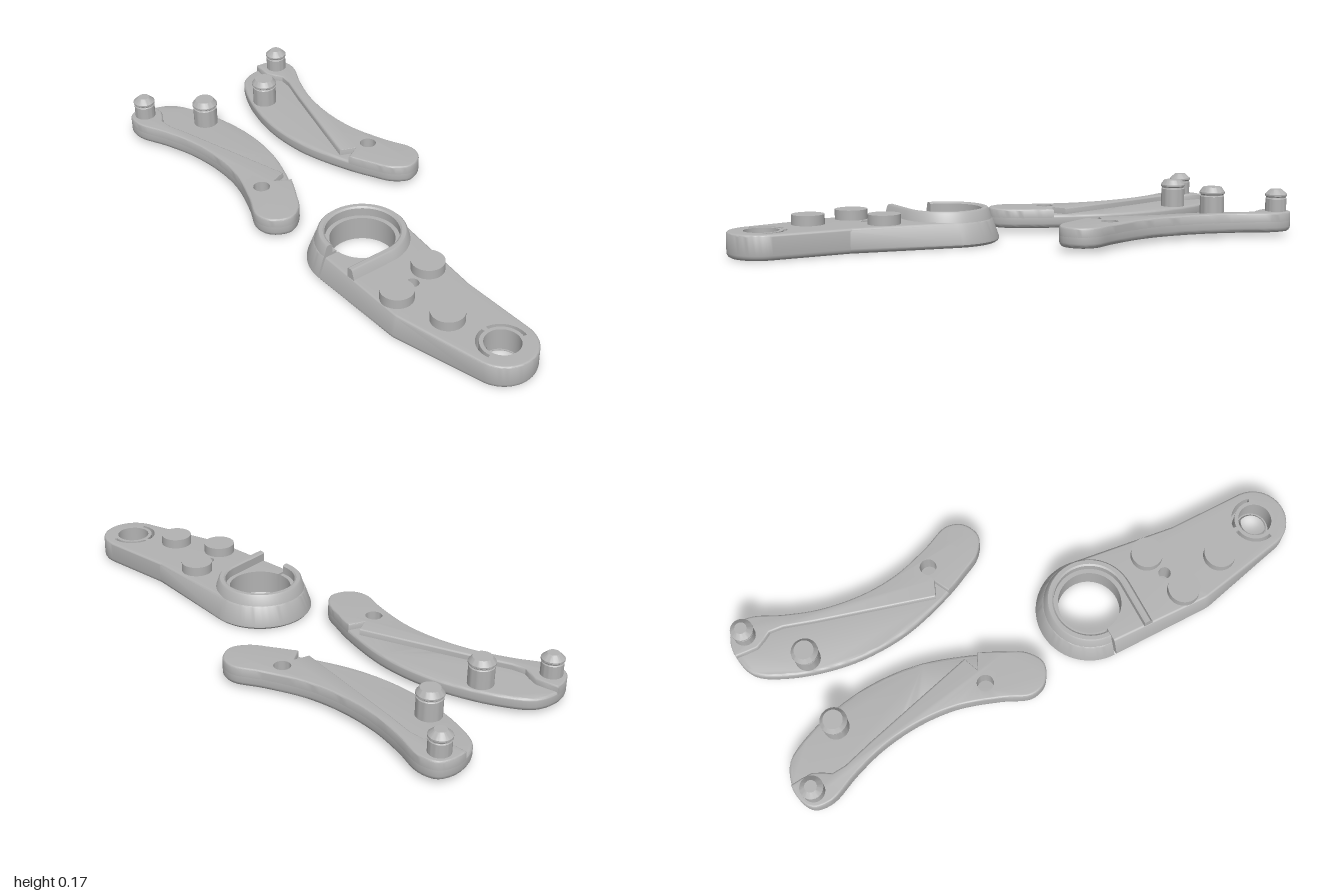
import * as THREE from 'three';
import { toCreasedNormals } from 'three/addons/utils/BufferGeometryUtils.js';

const V2 = (x, y) => new THREE.Vector2(x, y);
const V3 = (x, y, z) => new THREE.Vector3(x, y, z);
const RAD = Math.PI / 180;

// points on an arc in plan; 90 degrees points to the front
function arc(cx, cz, r, a0, a1, n) {
  const out = [];
  for (let i = 0; i <= n; i++) {
    const a = (a0 + ((a1 - a0) * i) / n) * RAD;
    out.push(V2(cx + r * Math.cos(a), cz + r * Math.sin(a)));
  }
  return out;
}
const circle = (cx, cz, r, n = 32) => arc(cx, cz, r, 0, 360 - 360 / n, n - 1);

// closed solid lofted through equal rings; holes run straight from end to end
function loft(rings, flat, holes = []) {
  const area = THREE.ShapeUtils.area;
  if (area(flat) < 0) {
    flat = [...flat].reverse();
    rings = rings.map((r) => [...r].reverse());
  }
  holes = holes.map((h) => (area(h) > 0 ? [...h].reverse() : h));
  const first = rings[0], last = rings[rings.length - 1];
  const tris = [];
  const wall = (a, b) => a.forEach((p, i) => {
    const j = (i + 1) % a.length;
    tris.push([p, a[j], b[j]], [p, b[j], b[i]]);
  });
  for (let k = 0; k + 1 < rings.length; k++) wall(rings[k], rings[k + 1]);
  const bottom = [...first], top = [...last];
  holes.forEach((h) => {
    const lo = h.map((p) => V3(p.x, first[0].y, p.y));
    const hi = h.map((p) => V3(p.x, last[0].y, p.y));
    wall(lo, hi);
    bottom.push(...lo);
    top.push(...hi);
  });
  THREE.ShapeUtils.triangulateShape(flat, holes).forEach(([a, b, c]) => {
    tris.push([top[a], top[b], top[c]], [bottom[c], bottom[b], bottom[a]]);
  });
  // turn the faces outward
  const volume = tris.reduce((s, [a, b, c]) => s + a.dot(b.clone().cross(c)), 0);
  const pos = [];
  tris.forEach(([a, b, c]) => {
    (volume < 0 ? [c, b, a] : [a, b, c]).forEach((p) => pos.push(p.x, p.y, p.z));
  });
  const g = new THREE.BufferGeometry();
  g.setAttribute('position', new THREE.Float32BufferAttribute(pos, 3));
  return toCreasedNormals(g, 0.6);
}

// [height, inset] levels with rounded lower and upper edges
function levels(y0, y1, rb, rt, n = 4) {
  const out = [];
  for (let i = 0; rb > 0 ? i <= n : i < 1; i++) {
    const a = (i / n) * Math.PI / 2;
    out.push([y0 + rb * (1 - Math.cos(a)), rb * (1 - Math.sin(a))]);
  }
  for (let i = 0; i <= n; i++) {
    const a = (i / n) * Math.PI / 2;
    out.push([y1 - rt + rt * Math.sin(a), rt * (1 - Math.cos(a))]);
  }
  return out;
}

// slab whose outline comes from a function of (inset, height)
function slab(outline, lv, holes) {
  const plans = lv.map(([y, d]) => outline(d, y));
  const rings = plans.map((pts, k) => pts.map((p) => V3(p.x, lv[k][0], p.y)));
  // the cap follows the last ring
  return loft(rings, plans[plans.length - 1], holes);
}

// move every point of a closed outline inward
function inset(pts, d) {
  const sign = THREE.ShapeUtils.area(pts) > 0 ? 1 : -1;
  const n = pts.length;
  return pts.map((p, i) => {
    const t = pts[(i + 1) % n].clone().sub(pts[(i + n - 1) % n]).normalize();
    return V2(p.x - t.y * d * sign, p.y + t.x * d * sign);
  });
}

export function createModel() {
  const model = new THREE.Group();
  model.name = 'leverParts';
  const grey = new THREE.MeshStandardMaterial({ color: 0xb2b2b2 });
  grey.name = 'grey';
  const add = (parent, name, geometry, x = 0, y = 0, z = 0) => {
    const m = new THREE.Mesh(geometry, grey);
    m.name = name;
    m.position.set(x, y, z);
    parent.add(m);
  };
  const lathe = (profile) => toCreasedNormals(
    new THREE.LatheGeometry(profile.map(([r, y]) => V2(r, y)), 40), 0.5);

  // base plate: tapered round end, split at its left side, and a narrow tip
  const base = new THREE.Group();
  base.name = 'basePlate';
  model.add(base);
  const cx = -0.147, cz = 0.2, tx = -0.145, tz = 0.88;
  const baseOutline = (d, y) => {
    const draft = Math.max(0, y - 0.015) * 0.36;
    const R = 0.191 - d - draft;
    return [
      ...arc(cx, cz, R, 180, 371, 48),
      ...arc(-0.15, 0.6, 0.12 - d, 11, 0, 3),
      ...arc(tx, tz, 0.115 - d, 0, 166, 30),
      ...arc(-0.237, 0.57, 0.1 - d - draft * 0.6, 166, 180, 3),
      V2(cx - R, cz + 0.009),
      ...arc(cx, cz, 0.112, 175.4, -180, 56),
    ];
  };
  const slot = (a, b) => [...arc(tx, tz, 0.085, a, b, 16), ...arc(tx, tz, 0.073, b, a, 16)];
  add(base, 'plate', slab(baseOutline, levels(0.003, 0.09, 0.018, 0.008), [
    circle(-0.172, 0.49, 0.022, 20), circle(tx, tz, 0.06),
    slot(165, 264), slot(276, 375),
  ]));

  // raised rim around the large hole, ending in a straight ridge
  const rim = [[0.1655, 0.08], [0.153, 0.12], [0.148, 0.125], [0.134, 0.125], [0.128, 0.12], [0.128, 0.08]];
  const stations = [];
  for (let i = 0; i <= 48; i++) {
    const a = (180 + (270 * i) / 48) * RAD;
    stations.push([cx, Math.cos(a), Math.sin(a)]);
  }
  stations.push([-0.313, 0, 1]);
  add(base, 'rim', loft(
    stations.map(([x, c, s]) => rim.map(([r, y]) => V3(x + r * c, y, cz + r * s))),
    rim.map(([r, y]) => V2(r, y))));

  // round pads and the bush in the tip
  [[-0.26, 0.515], [-0.085, 0.465], [-0.205, 0.695]].forEach(([x, z]) =>
    add(base, 'pad', new THREE.CylinderGeometry(0.057, 0.057, 0.045, 40), x, 0.1025, z));
  add(base, 'tipBush', lathe([[0.061, 0.01], [0.061, 0.082], [0.056, 0.082], [0.048, 0.07],
    [0.048, 0.018], [0.055, 0.01], [0.061, 0.01]].reverse()), tx, 0, tz);

  // curved arms: a full lower layer and a raised layer along the inner curve
  const control = [[0.125, -0.235], [0.165, -0.15], [0.205, -0.08], [0.265, -0.045], [0.33, -0.075],
    [0.35, -0.135], [0.31, -0.235], [0.265, -0.38], [0.255, -0.52], [0.275, -0.67], [0.315, -0.79],
    [0.362, -0.9], [0.355, -0.965], [0.315, -0.993], [0.25, -1.0], [0.17, -0.97], [0.11, -0.87],
    [0.065, -0.72], [0.05, -0.58], [0.065, -0.42]];
  const step = [[0.246, -0.96], [0.245, -0.92], [0.262, -0.885], [0.278, -0.86], [0.274, -0.81],
    [0.24, -0.7], [0.125, -0.285], [0.18, -0.263]];
  const pin = (r, top) => lathe([[r * 0.95, 0.06], [r * 0.95, 0.136], [r * 0.89, 0.139],
    [r * 0.89, 0.142], [r, 0.146], [r, 0.152], [top, 0.17], [0, 0.17]]);

  [[-1, 0, 'rightArm'], [1, 0.015, 'leftArm']].forEach(([side, dz, name]) => {
    const arm = new THREE.Group();
    arm.name = name;
    arm.position.z = dz;
    model.add(arm);
    const curve = new THREE.CatmullRomCurve3(
      control.map(([x, z]) => V3(x * side, 0, z)), true, 'centripetal');
    const n = control.length * 5;
    const full = [];
    for (let i = 0; i < n; i++) {
      const p = curve.getPoint(i / n);
      full.push(V2(p.x, p.z));
    }
    const upper = [...full.slice(0, 71), ...step.map(([x, z]) => V2(x * side, z))];
    const hole = [circle(0.238 * side, -0.26, 0.03, 24)];
    add(arm, 'armBody', slab((d) => inset(full, d), levels(0.018, 0.068, 0.018, 0.01), hole));
    add(arm, 'armRaisedLayer', slab((d) => inset(upper, d), levels(0.057, 0.09, 0, 0.007), hole));
    add(arm, 'endPin', pin(0.04, 0.021), 0.306 * side, 0, -0.94);
    add(arm, 'middlePin', pin(0.047, 0.034), 0.134 * side, 0, -0.78);
  });
  return model;
}
